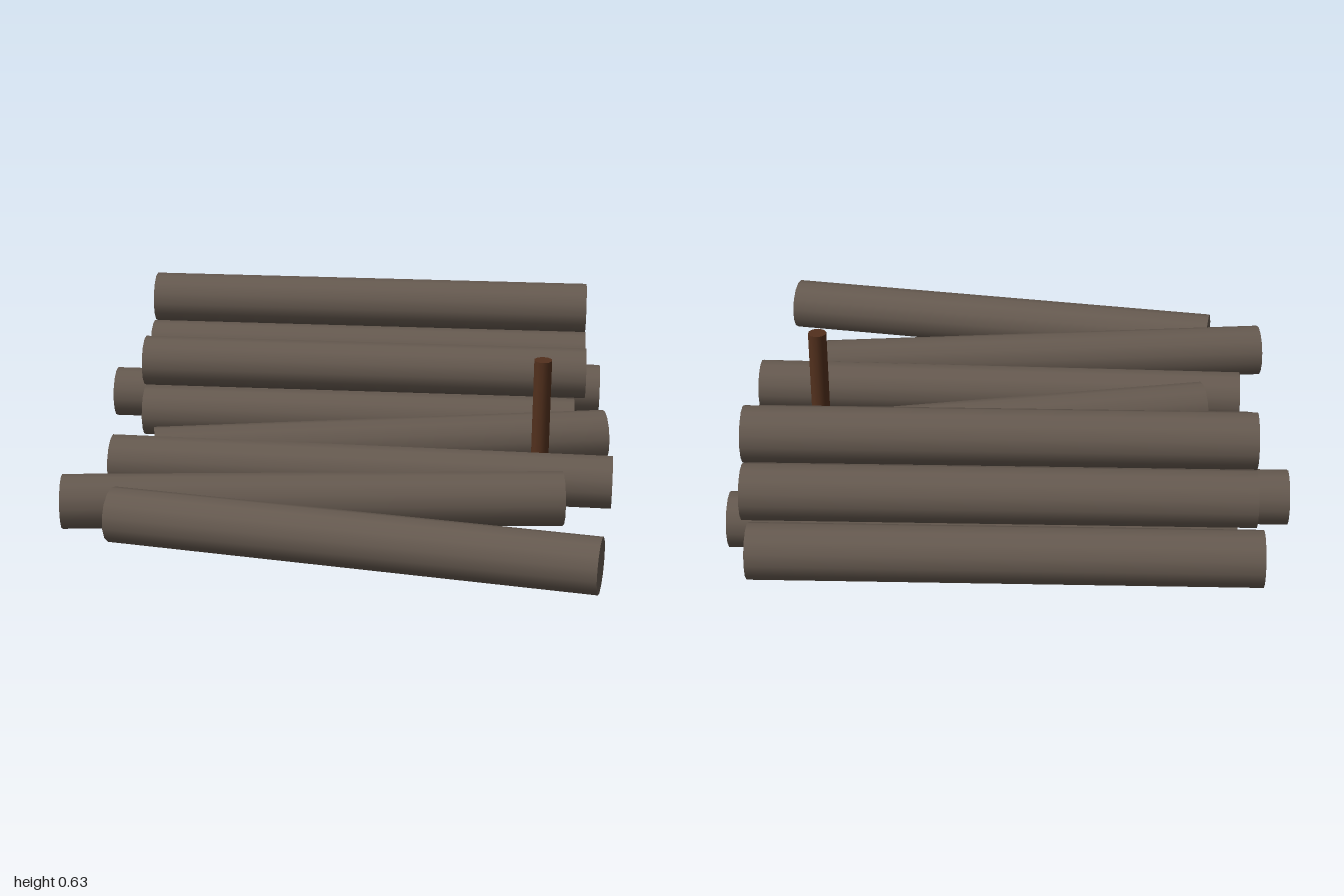
import * as THREE from 'three';

const barkMat = new THREE.MeshStandardMaterial({ color: 0x665a50 });
barkMat.name = 'greyBark';
const stakeMat = new THREE.MeshStandardMaterial({ color: 0x52301d });
stakeMat.name = 'redBrownWood';

// Round pole between two points
function pole(name, a, b, radius, sides, material) {
  const start = new THREE.Vector3(...a), end = new THREE.Vector3(...b);
  const axis = end.clone().sub(start);
  const mesh = new THREE.Mesh(new THREE.CylinderGeometry(radius, radius, axis.length(), sides), material);
  mesh.position.copy(start).add(end).multiplyScalar(0.5);
  mesh.quaternion.setFromUnitVectors(new THREE.Vector3(0, 1, 0), axis.normalize());
  mesh.name = name;
  return mesh;
}

export function createModel() {
  const model = new THREE.Group();
  model.name = 'logPile';
  const R = 0.094;
  const log = (name, x0, z0, x1, z1, y) =>
    pole(name, [x0, y, z0], [x1, y, z1], R, 14, barkMat);

  // Stacked logs: [left x, right x, z, y]
  const stack = new THREE.Group();
  stack.name = 'stackedLogs';
  [
    [-0.84, 0.835, -0.905, 0.207], [-0.76, 0.92, -0.715, 0.207],
    [-0.95, 0.73, -0.525, 0.207], [-0.805, 0.815, -0.335, 0.207],
    [-0.815, 0.855, -0.81, 0.375], [-0.815, 0.855, -0.615, 0.375],
    [-0.815, 0.855, -0.425, 0.375], [-0.815, 0.855, -0.715, 0.537],
  ].forEach(([x0, x1, z, y], i) => stack.add(log(`stackedLog${i + 1}`, x0, z, x1, z, y)));

  // Logs that have rolled off the pile: [x0, z0, x1, z1]
  const loose = new THREE.Group();
  loose.name = 'looseLogs';
  [
    [-0.695, 0.09, 0.925, -0.225], [-0.833, 0.17, 0.94, 0.218],
    [-0.933, 0.548, 0.768, 0.373], [-0.745, 0.638, 0.883, 0.9],
  ].forEach((p, i) => loose.add(log(`looseLog${i + 1}`, ...p, 0.207)));

  // Retaining stakes: one whole, one snapped with its top half fallen
  const stakes = new THREE.Group();
  stakes.name = 'stakes';
  stakes.add(
    pole('wholeStake', [0.69, 0, -0.04], [0.69, 0.56, -0.04], 0.033, 10, stakeMat),
    pole('brokenStump', [-0.65, 0, -0.04], [-0.65, 0.19, -0.04], 0.033, 10, stakeMat),
    pole('brokenStakeTop', [-0.65, 0.147, 0.35], [-0.575, 0.147, -0.01], 0.033, 10, stakeMat),
  );

  model.add(stack, loose, stakes);
  return model;
}
